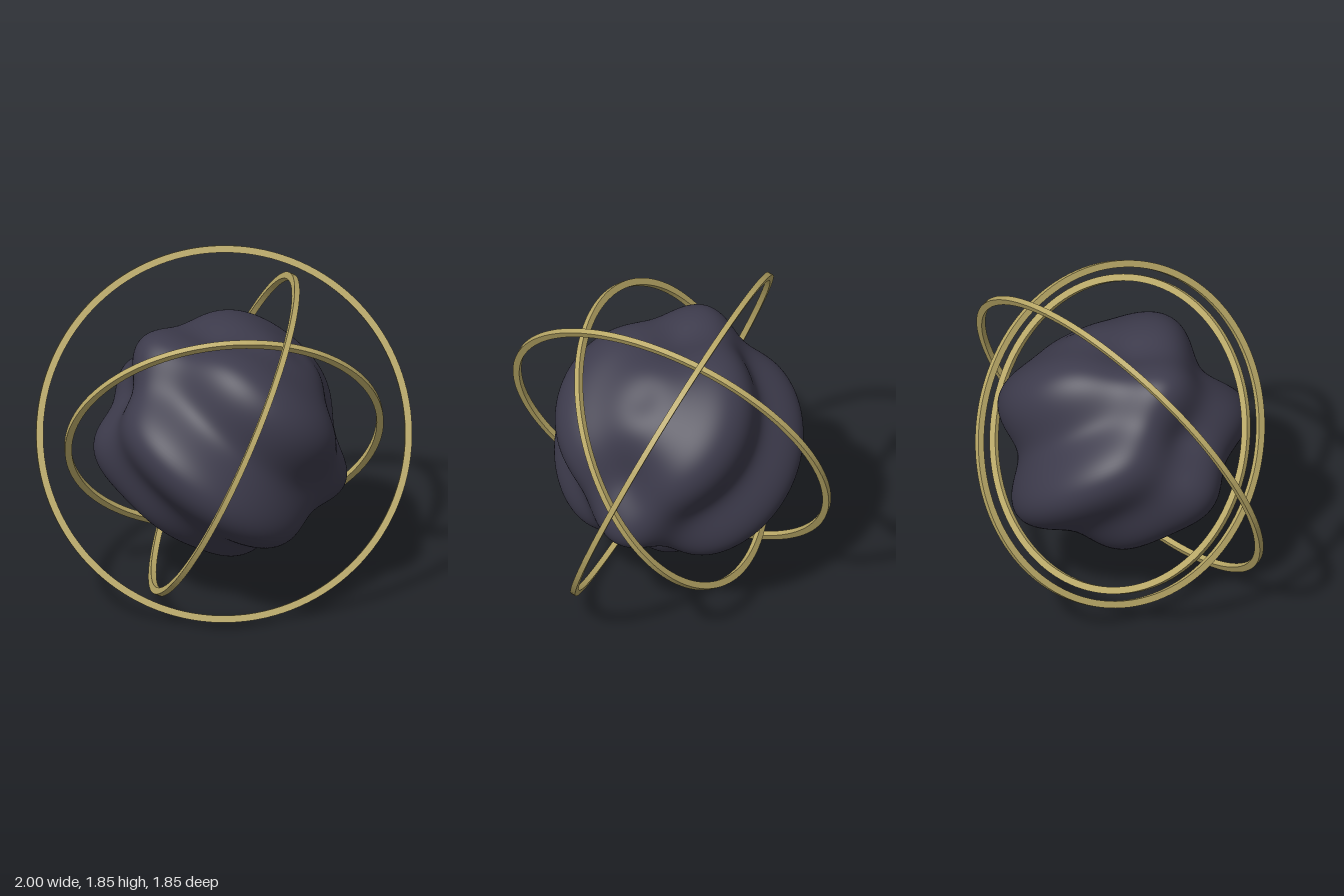
import * as THREE from 'three';
import { mergeVertices } from 'three/addons/utils/BufferGeometryUtils.js';

const CENTRE_Y = 0.925;

// Lumpy core: a sphere displaced by a wave along a tilted axis. The wave is
// reversed between a narrow belt around z = 0 and the broad front and back.
function coreGeometry() {
  let geo = new THREE.IcosahedronGeometry(1, 40);
  geo.deleteAttribute('uv');
  geo.deleteAttribute('normal');
  geo = mergeVertices(geo, 1e-4);
  const tilt = THREE.MathUtils.degToRad(51);
  const axis = new THREE.Vector3(Math.cos(tilt), Math.sin(tilt), 0);
  const pos = geo.attributes.position;
  const p = new THREE.Vector3();
  for (let i = 0; i < pos.count; i++) {
    p.fromBufferAttribute(pos, i).normalize();
    const u = p.dot(axis);
    const s2 = 1 - u * u;
    const fade = 1.1 * s2 / (s2 + 0.1);
    const belt = -0.9 + 1.9 * Math.exp(-((p.z / 0.39) ** 2));
    const r = 0.59 + 0.035 * fade + 0.082 * fade * Math.sin(6.4 * u) * belt;
    pos.setXYZ(i, p.x * r, p.y * r, p.z * r);
  }
  geo.computeVertexNormals();
  return geo;
}

// Flat hoop with a rectangular section, centred on the origin, facing z
function hoopGeometry(outer, width = 0.037, depth = 0.03) {
  const shape = new THREE.Shape().absarc(0, 0, outer, 0, Math.PI * 2, false);
  shape.holes.push(new THREE.Path().absarc(0, 0, outer - width, 0, Math.PI * 2, true));
  const geo = new THREE.ExtrudeGeometry(shape, { depth, bevelEnabled: false, curveSegments: 64 });
  return geo.translate(0, 0, -depth / 2);
}

export function createModel() {
  const model = new THREE.Group();
  model.name = 'ringedCore';

  const stone = new THREE.MeshStandardMaterial({ color: 0x3d3b4c });
  stone.name = 'dark slate';
  const brass = new THREE.MeshStandardMaterial({ color: 0xbaa967 });
  brass.name = 'brass';

  const core = new THREE.Mesh(coreGeometry(), stone);
  core.name = 'core';
  core.position.y = CENTRE_Y;
  model.add(core);

  // Three hoops, each given by its outer radius and facing direction
  const hoops = [
    ['outerRing', 1.0, [0.043, 0.39, 0.92]],
    ['innerRing', 0.85, [0.069, -0.512, 0.857]],
    ['crossRing', 0.925, [0.907, -0.42, 0.041]],
  ];
  const forward = new THREE.Vector3(0, 0, 1);
  for (const [name, radius, facing] of hoops) {
    const hoop = new THREE.Mesh(hoopGeometry(radius), brass);
    hoop.name = name;
    hoop.position.y = CENTRE_Y;
    hoop.quaternion.setFromUnitVectors(forward, new THREE.Vector3(...facing).normalize());
    model.add(hoop);
  }
  return model;
}
